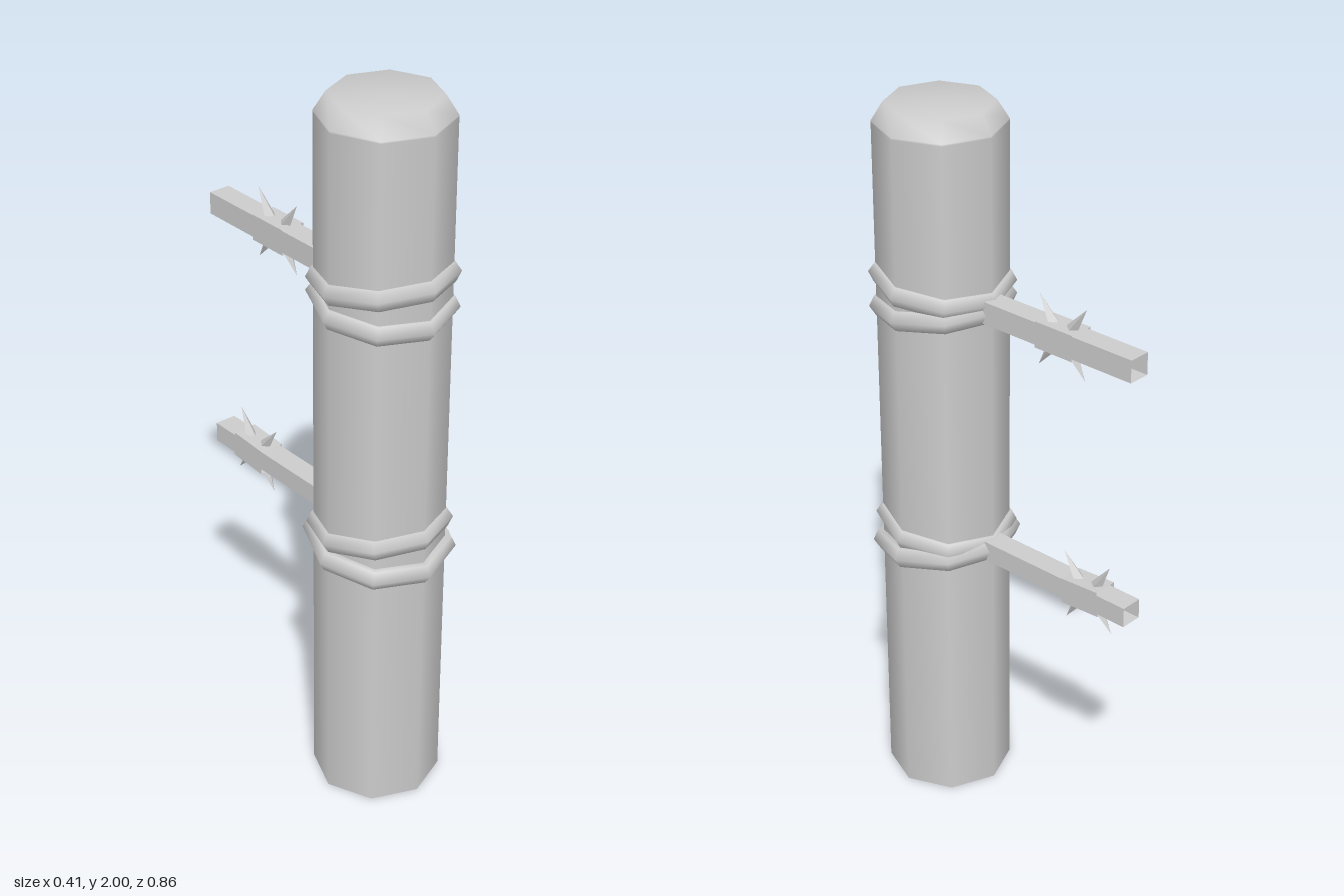
import * as THREE from 'three';

const POST_Z = 0.228, POST_R = 0.173;

export function createModel() {
  const model = new THREE.Group();
  const smooth = new THREE.MeshStandardMaterial({ color: 0xcccccc, side: THREE.DoubleSide });
  const flat = new THREE.MeshStandardMaterial({ color: 0xcccccc, side: THREE.DoubleSide, flatShading: true });

  function add(parent, name, geometry, material) {
    const mesh = new THREE.Mesh(geometry, material);
    mesh.name = name;
    parent.add(mesh);
    return mesh;
  }

  // Open square sleeve running along z, centred on the origin
  function squareTube(halfX, halfY, length) {
    return new THREE.CylinderGeometry(Math.SQRT2, Math.SQRT2, length, 4, 1, true)
      .rotateY(Math.PI / 4).rotateX(Math.PI / 2).scale(halfX, halfY, 1);
  }

  // Eight-sided post with a bevelled top and an open foot
  const profile = [[POST_R, 0], [POST_R, 1.945], [POST_R, 1.95], [0.142, 2], [0, 2]]
    .map(([r, y]) => new THREE.Vector2(r, y));
  add(model, 'post', new THREE.LatheGeometry(profile, 8), smooth).position.z = POST_Z;

  // Wire loop round the post, tilted from its front height to its back height
  function addLoop(frontY, backY, radius, thickness) {
    const geometry = new THREE.TorusGeometry(radius, thickness, 6, 8).rotateX(Math.PI / 2);
    const loop = add(model, 'wireLoop', geometry, smooth);
    loop.position.set(0, (frontY + backY) / 2, POST_Z);
    loop.rotation.x = -Math.atan2(frontY - backY, 2 * radius);
  }
  addLoop(1.545, 1.505, 0.162, 0.031);
  addLoop(1.44, 1.475, 0.162, 0.031);
  addLoop(0.828, 0.785, 0.162, 0.031);
  addLoop(0.73, 0.775, 0.171, 0.032);

  // Barb: a sleeve with two spikes above and two below
  function addBarb(y, z, tilt) {
    const barb = new THREE.Group();
    barb.name = 'barb';
    add(barb, 'barbSleeve', squareTube(0.035, 0.036, 0.122), flat);
    for (const sy of [1, -1]) for (const sz of [1, -1]) {
      const base = new THREE.Vector3(0, sy * 0.028, sz * 0.029);
      const tip = new THREE.Vector3(0, sy * 0.1, sz * 0.078);
      const dir = tip.clone().sub(base);
      const spike = add(barb, 'spike', new THREE.ConeGeometry(0.018, dir.length(), 4, 1, true), flat);
      spike.position.copy(base).add(tip).multiplyScalar(0.5);
      spike.quaternion.setFromUnitVectors(new THREE.Vector3(0, 1, 0), dir.normalize());
    }
    barb.position.set(0, y, z);
    barb.rotation.x = tilt;
    model.add(barb);
  }

  // Two cut wires reaching backwards from the post
  for (const [y, half, barbZ, tilt] of [[1.485, 0.031, -0.183, 0], [0.776, 0.028, -0.283, 0.06]]) {
    add(model, 'wire', squareTube(0.031, half, 0.51), flat).position.set(0, y, -0.175);
    addBarb(y, barbZ, tilt);
  }

  return model;
}
